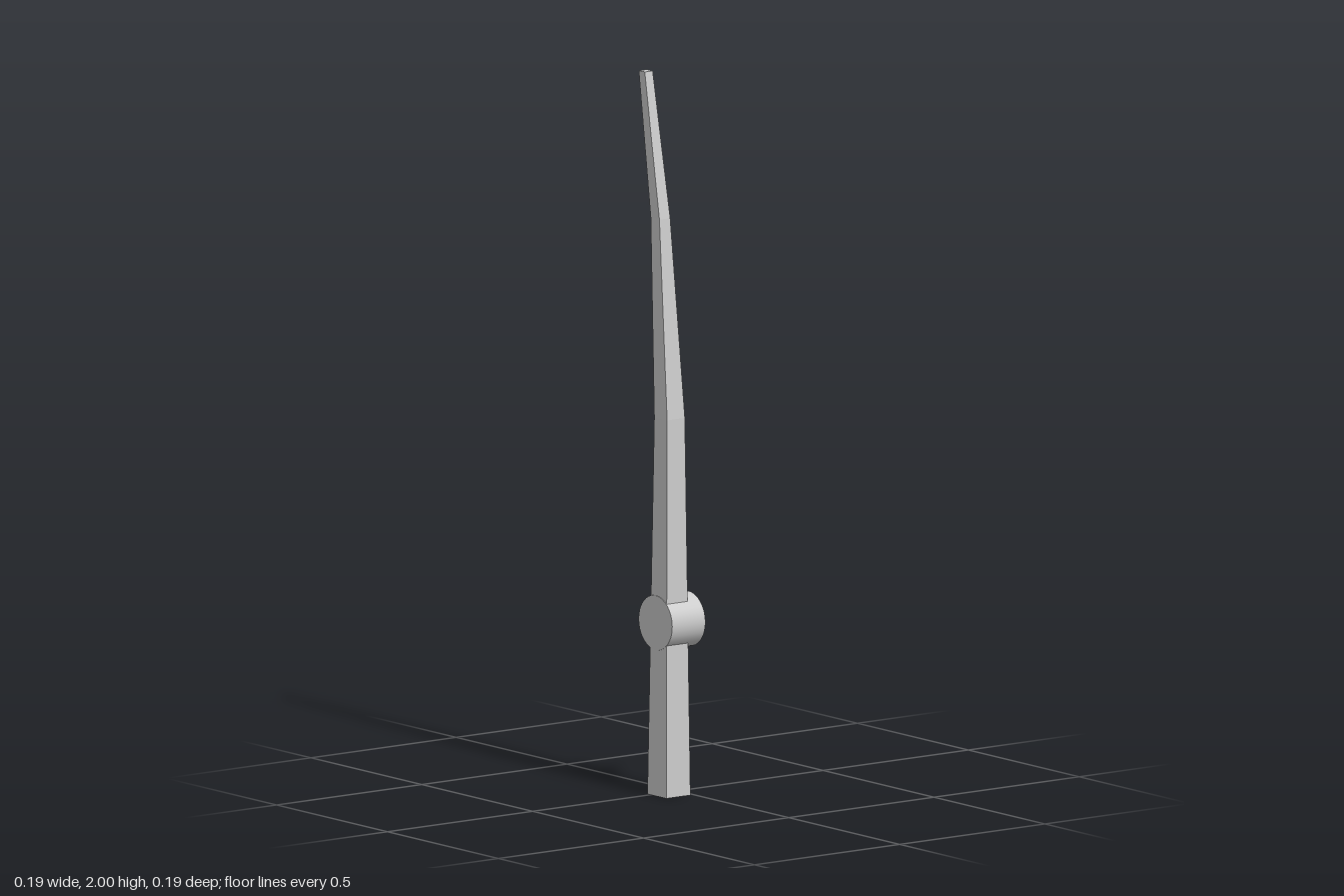
import * as THREE from 'three';

const ROD_X = -0.053;
// rod sections: y, centre z, half width in x, half depth in z
const SECTIONS = [
  [0, 0.029, 0.0415, 0.0425],
  [1.05, 0.032, 0.0305, 0.029],
  [1.6, -0.009, 0.0185, 0.0195],
  [2, -0.0755, 0.0135, 0.0135],
];

// square tapering shaft lofted through the sections
function rodGeometry() {
  const pos = [];
  const rings = SECTIONS.map(([y, z, w, d]) =>
    [[-1, 1], [1, 1], [1, -1], [-1, -1]].map(([sx, sz]) => [ROD_X + sx * w, y, z + sz * d]));
  const quad = (a, b, c, d) => pos.push(...a, ...b, ...c, ...a, ...c, ...d);
  for (let i = 0; i < rings.length - 1; i++) {
    const lo = rings[i], hi = rings[i + 1];
    for (let k = 0; k < 4; k++) {
      const n = (k + 1) % 4;
      quad(lo[k], lo[n], hi[n], hi[k]);
    }
  }
  const bottom = rings[0], top = rings[rings.length - 1];
  quad(bottom[3], bottom[2], bottom[1], bottom[0]);
  quad(top[0], top[1], top[2], top[3]);
  const geo = new THREE.BufferGeometry();
  geo.setAttribute('position', new THREE.Float32BufferAttribute(pos, 3));
  geo.computeVertexNormals();
  return geo;
}

export function createModel() {
  const group = new THREE.Group();
  const mat = new THREE.MeshStandardMaterial({ color: 0xcccccc });
  const add = (name, geo, x = 0, y = 0, z = 0) => {
    const mesh = new THREE.Mesh(geo, mat);
    mesh.name = name;
    mesh.position.set(x, y, z);
    group.add(mesh);
    return mesh;
  };

  add('rod', rodGeometry());

  // reel drum and crank, both lying along x
  const axle = (r, length, sides) => new THREE.CylinderGeometry(r, r, length, sides).rotateZ(Math.PI / 2);
  add('reel', axle(0.076, 0.114, 32), -0.034, 0.481, 0.018);
  add('reelHandle', axle(0.01, 0.075, 16), 0.0555, 0.447, -0.01);

  // line guides: small level rings half sunk in the back of the rod
  [[0.922, 0.001, 0.018, 0.003], [1.56, -0.026, 0.01, 0.0025], [1.982, -0.086, 0.0075, 0.002]]
    .forEach(([y, z, r, tube], i) => {
      const ring = new THREE.TorusGeometry(r, tube, 8, 16).rotateX(Math.PI / 2);
      add('lineGuide' + (i + 1), ring, ROD_X, y, z);
    });

  return group;
}
